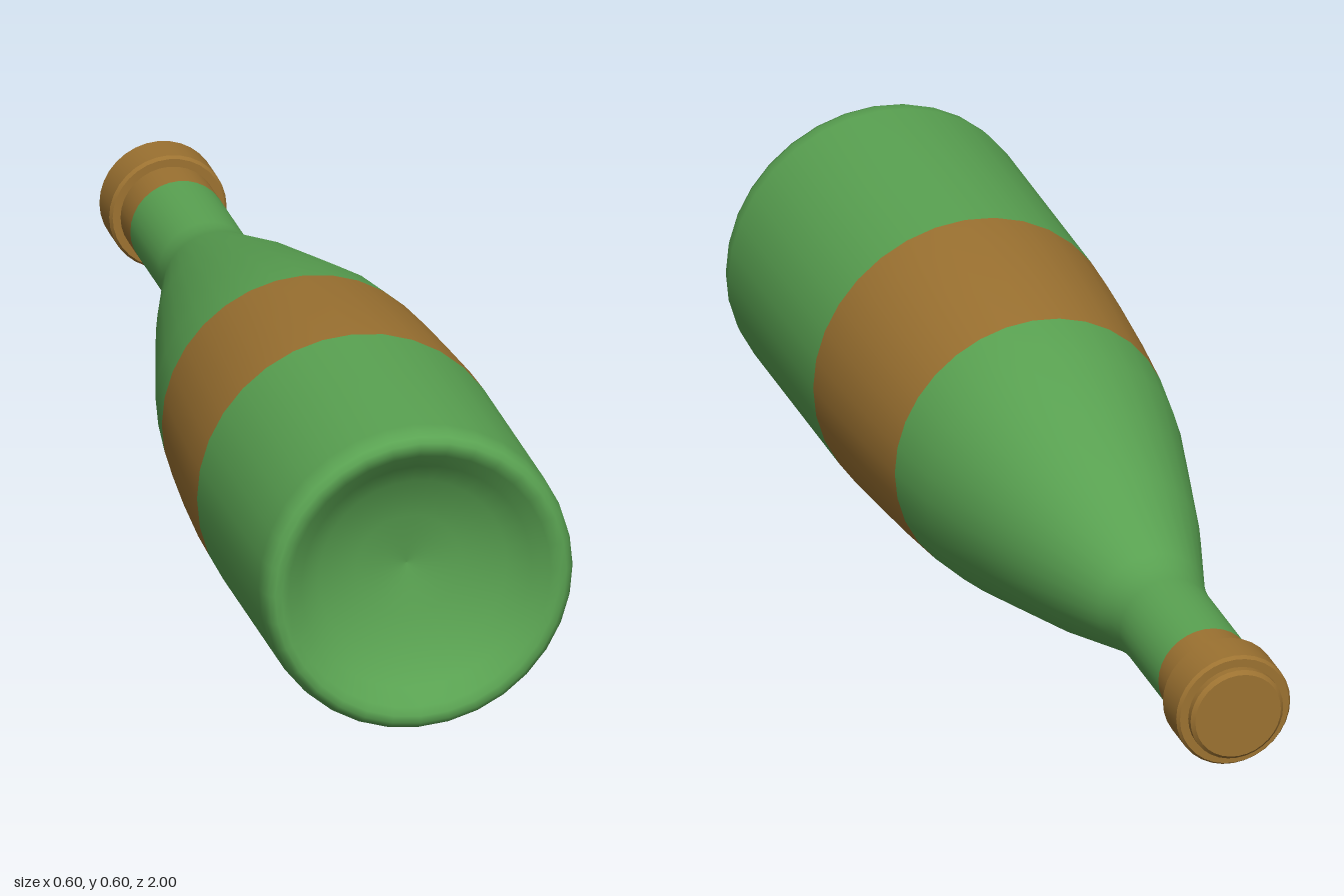
import * as THREE from 'three';
import { toCreasedNormals } from 'three/addons/utils/BufferGeometryUtils.js';

const R = 0.298;
const green = new THREE.MeshStandardMaterial({ color: 0x5aa352 });
const brown = new THREE.MeshStandardMaterial({ color: 0x9c7231 });

// Turned part lying along z: profile pairs are [radius, z], from base (+z) to mouth (-z)
function turned(name, profile, material, creased = false) {
  const points = profile.map(([r, z]) => new THREE.Vector2(r, -z));
  let geometry = new THREE.LatheGeometry(points, 32);
  if (creased) geometry = toCreasedNormals(geometry, 0.6);
  geometry.rotateX(-Math.PI / 2);
  geometry.translate(0, R, 0);
  const mesh = new THREE.Mesh(geometry, material);
  mesh.name = name;
  return mesh;
}

export function createModel() {
  const bottle = new THREE.Group();
  bottle.name = 'bottle';

  // Hollow base, rounded foot and straight lower body
  bottle.add(turned('base', [
    [0, 0.89], [0.1, 0.905], [0.18, 0.935], [0.22, 0.965], [0.25, 0.99], [0.265, 0.998],
    [0.278, 0.998], [0.288, 0.99], [0.295, 0.975], [R, 0.95], [R, 0.7], [R, 0.49],
  ], green));

  // Label band where the body starts to taper
  bottle.add(turned('label', [
    [R, 0.49], [0.295, 0.4], [0.284, 0.25], [0.271, 0.12],
  ], brown));

  // Shoulder narrowing into the neck
  bottle.add(turned('shoulderAndNeck', [
    [0.271, 0.12], [0.252, 0], [0.214, -0.15], [0.168, -0.33],
    [0.105, -0.53], [0.096, -0.57], [0.092, -0.61], [0.092, -0.82],
  ], green));

  // Foil sleeve around the neck
  bottle.add(turned('neckFoil', [[0.092, -0.82], [0.092, -0.9]], brown));

  // Collar with softened edges
  bottle.add(turned('collar', [
    [0.09, -0.893], [0.107, -0.893], [0.112, -0.9],
    [0.112, -0.973], [0.107, -0.98], [0.088, -0.98],
  ], brown, true));

  // Raised disc closing the mouth
  bottle.add(turned('stopper', [
    [0.091, -0.978], [0.091, -0.993], [0.084, -1], [0, -1],
  ], brown, true));

  return bottle;
}
